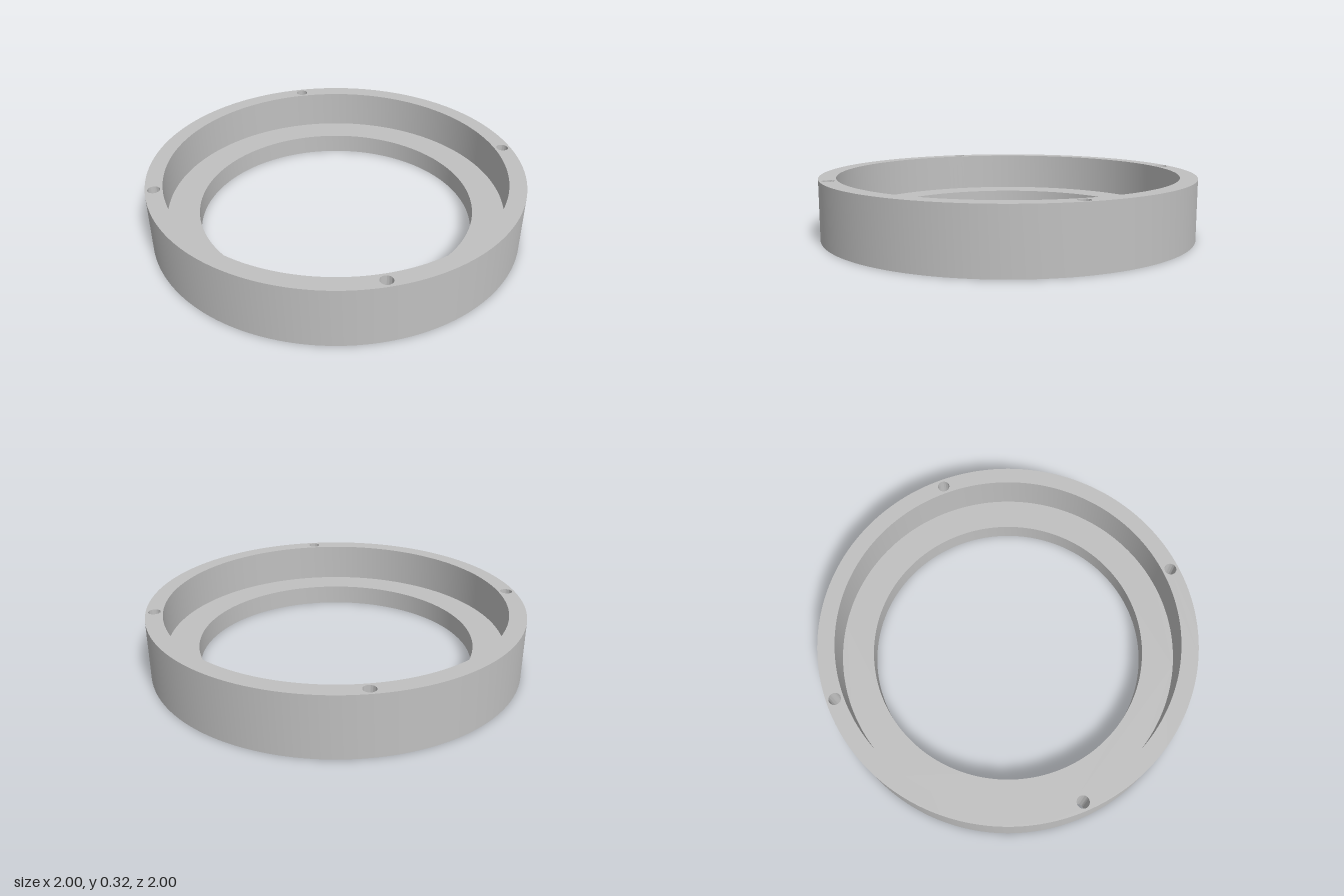
import * as THREE from 'three';
import { toCreasedNormals } from 'three/addons/utils/BufferGeometryUtils.js';

const HEIGHT = 0.32, LEDGE_HEIGHT = 0.11;
const OUTER = 1, RECESS = 0.91, BORE = 0.74;
const BOLT_CIRCLE = 0.955, BOLT_RADIUS = 0.032;

const circlePath = (x, y, r) => new THREE.Path().absarc(x, y, r, 0, Math.PI * 2, true);

// Flat ring standing on y = 0, with extra holes cut through it
function ring(outer, inner, height, holes = []) {
  const shape = new THREE.Shape().absarc(0, 0, outer, 0, Math.PI * 2, false);
  shape.holes.push(circlePath(0, 0, inner), ...holes);
  const geo = new THREE.ExtrudeGeometry(shape, { depth: height, bevelEnabled: false, curveSegments: 96 });
  geo.rotateX(-Math.PI / 2);
  return toCreasedNormals(geo, 0.6);
}

export function createModel() {
  const group = new THREE.Group();
  group.name = 'steppedRing';
  const metal = new THREE.MeshStandardMaterial({ color: 0xc0c0c0 });
  metal.name = 'light grey';

  const add = (name, geo) => {
    const mesh = new THREE.Mesh(geo, metal);
    mesh.name = name;
    group.add(mesh);
  };

  // Tall outer wall with four through bolt holes
  const boltHoles = [0, 1, 2, 3].map((i) => {
    const a = (i * Math.PI) / 2;
    return circlePath(BOLT_CIRCLE * Math.cos(a), BOLT_CIRCLE * Math.sin(a), BOLT_RADIUS);
  });
  add('outerWall', ring(OUTER, RECESS, HEIGHT, boltHoles));

  // Low inner ledge around the bore
  add('innerLedge', ring(RECESS, BORE, LEDGE_HEIGHT));

  return group;
}
